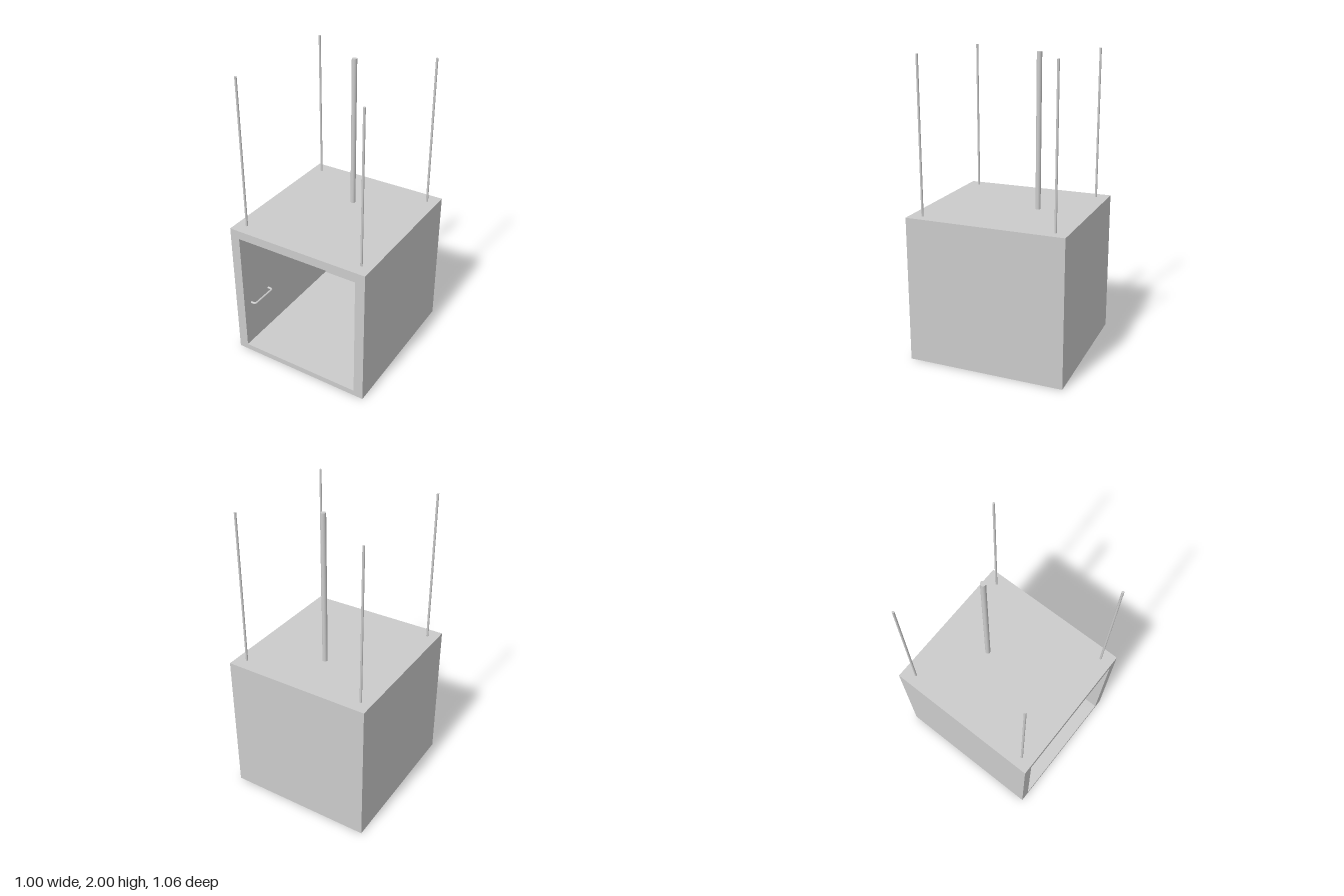
import * as THREE from 'three';

const material = new THREE.MeshStandardMaterial({ color: 0xcccccc });
const W = 0.5, H = 0.985, D = 0.53;              // half width, height, half depth
const IN = { x: 0.433, y0: 0.04, y1: 0.925, z: -0.487 }; // inner cavity

function add(parent, name, geometry, x = 0, y = 0, z = 0) {
  const mesh = new THREE.Mesh(geometry, material);
  mesh.name = name;
  mesh.position.set(x, y, z);
  parent.add(mesh);
  return mesh;
}

function rectangle(Path, x, y0, y1) {
  const p = new Path();
  p.moveTo(-x, y0).lineTo(x, y0).lineTo(x, y1).lineTo(-x, y1).closePath();
  return p;
}

// Bar handle along x, standing off a wall at z = 0 with rounded corners
function handleGeometry(length) {
  const r = 0.0075, a = length / 2 - r, out = 0.043 - r, bend = 0.018;
  const v = (x, z) => new THREE.Vector3(x, 0, z);
  const path = new THREE.CurvePath();
  path.add(new THREE.LineCurve3(v(-a, -0.005), v(-a, out - bend)));
  path.add(new THREE.QuadraticBezierCurve3(v(-a, out - bend), v(-a, out), v(-a + bend, out)));
  path.add(new THREE.LineCurve3(v(-a + bend, out), v(a - bend, out)));
  path.add(new THREE.QuadraticBezierCurve3(v(a - bend, out), v(a, out), v(a, out - bend)));
  path.add(new THREE.LineCurve3(v(a, out - bend), v(a, -0.005)));
  return new THREE.TubeGeometry(path, 96, r, 12);
}

export function createModel() {
  const model = new THREE.Group();
  model.name = 'suspendedCabin';

  // Cabin: open-fronted shell with a back wall
  const cabin = new THREE.Group();
  cabin.name = 'cabin';
  model.add(cabin);
  const frame = rectangle(THREE.Shape, W, 0, H);
  frame.holes.push(rectangle(THREE.Path, IN.x, IN.y0, IN.y1));
  add(cabin, 'shell', new THREE.ExtrudeGeometry(frame, { depth: D - IN.z, bevelEnabled: false }), 0, 0, IN.z);
  const backDepth = D + IN.z;
  add(cabin, 'backWall', new THREE.BoxGeometry(2 * W, H, backDepth), 0, H / 2, -D + backDepth / 2);

  // Handles: one wide on the back wall, two short on each side wall
  const handleY = 0.365;
  add(model, 'backHandle', handleGeometry(0.4), 0, handleY, IN.z);
  const sideHandle = handleGeometry(0.21);
  for (const side of [-1, 1]) {
    for (const z of [0.36, -0.256]) {
      const handle = add(model, side > 0 ? 'leftHandle' : 'rightHandle', sideHandle, side * IN.x, handleY, z);
      handle.rotation.y = -side * Math.PI / 2;
    }
  }

  // Four corner cables and the thicker hoisting rod
  const length = 2 - H;
  const cable = new THREE.CylinderGeometry(0.0075, 0.0075, length, 16);
  for (const x of [-0.428, 0.428])
    for (const z of [-0.445, 0.448]) add(model, 'cornerCable', cable, x, H + length / 2, z);
  add(model, 'hoistRod', new THREE.CylinderGeometry(0.017, 0.017, length, 24), 0, H + length / 2, -0.175);

  return model;
}
